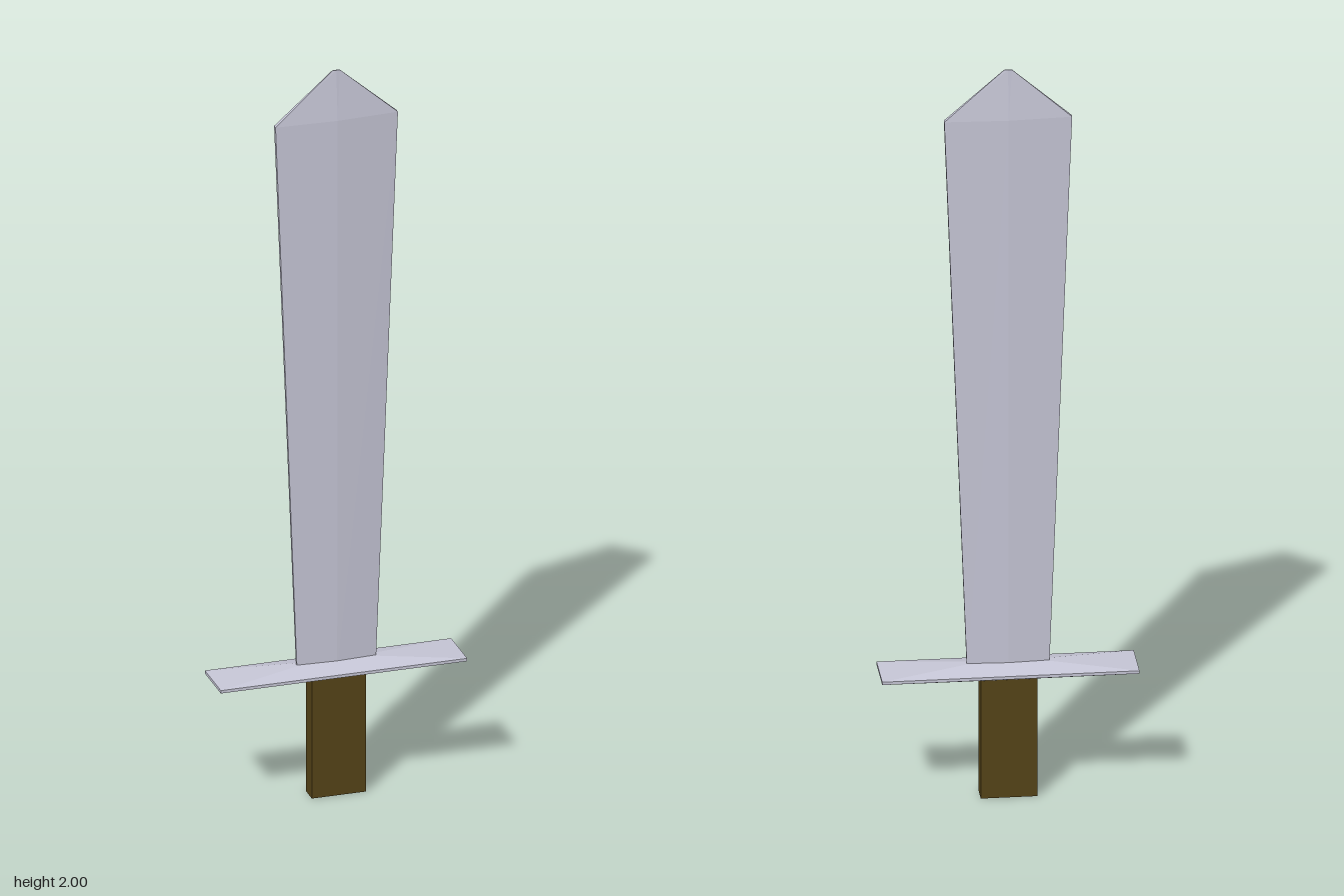
import * as THREE from 'three';

// Flat-shaded solid through stacked rings; each ring is { y, pts: [[x, z], ...] }
function loft(name, rings, color) {
  const pos = [];
  const n = rings[0].pts.length;
  const put = (r, j) => pos.push(rings[r].pts[j % n][0], rings[r].y, rings[r].pts[j % n][1]);
  for (let r = 0; r < rings.length - 1; r++) {
    for (let j = 0; j < n; j++) {
      put(r, j); put(r, j + 1); put(r + 1, j + 1);
      put(r, j); put(r + 1, j + 1); put(r + 1, j);
    }
  }
  // end caps
  const last = rings.length - 1;
  for (let j = 1; j < n - 1; j++) {
    put(0, 0); put(0, j + 1); put(0, j);
    put(last, 0); put(last, j); put(last, j + 1);
  }
  const geometry = new THREE.BufferGeometry();
  geometry.setAttribute('position', new THREE.Float32BufferAttribute(pos, 3));
  geometry.computeVertexNormals();
  const mesh = new THREE.Mesh(geometry, new THREE.MeshStandardMaterial({ color, flatShading: true }));
  mesh.name = name;
  return mesh;
}

const rect = (y, x, z) => ({ y, pts: [[x, z], [x, -z], [-x, -z], [-x, z]] });

// Six-sided blade section: half width x, edge half thickness e, ridge half thickness t
const section = (y, x, e, t) => ({
  y, pts: [[x, e], [x, -e], [0, -t], [-x, -e], [-x, e], [0, t]],
});

export function createModel() {
  const sword = new THREE.Group();
  sword.name = 'sword';
  const steel = 0xc6c6d6;

  // Blade widens upward, then closes to a blunt point
  sword.add(loft('blade', [
    section(0.35, 0.105, 0.004, 0.01),
    section(1.865, 0.163, 0.006, 0.014),
    section(2, 0.01, 0.001, 0.002),
  ], steel));

  // Crossguard: thin rim sloping to the blade above and the grip below
  sword.add(loft('crossguard', [
    rect(0.325, 0.072, 0.024),
    rect(0.344, 0.328, 0.066),
    rect(0.352, 0.328, 0.066),
    rect(0.366, 0.106, 0.01),
  ], steel));

  // Grip
  const grip = new THREE.Mesh(
    new THREE.BoxGeometry(0.144, 0.33, 0.048),
    new THREE.MeshStandardMaterial({ color: 0x554317, flatShading: true }),
  );
  grip.name = 'grip';
  grip.position.y = 0.165;
  sword.add(grip);

  return sword;
}
